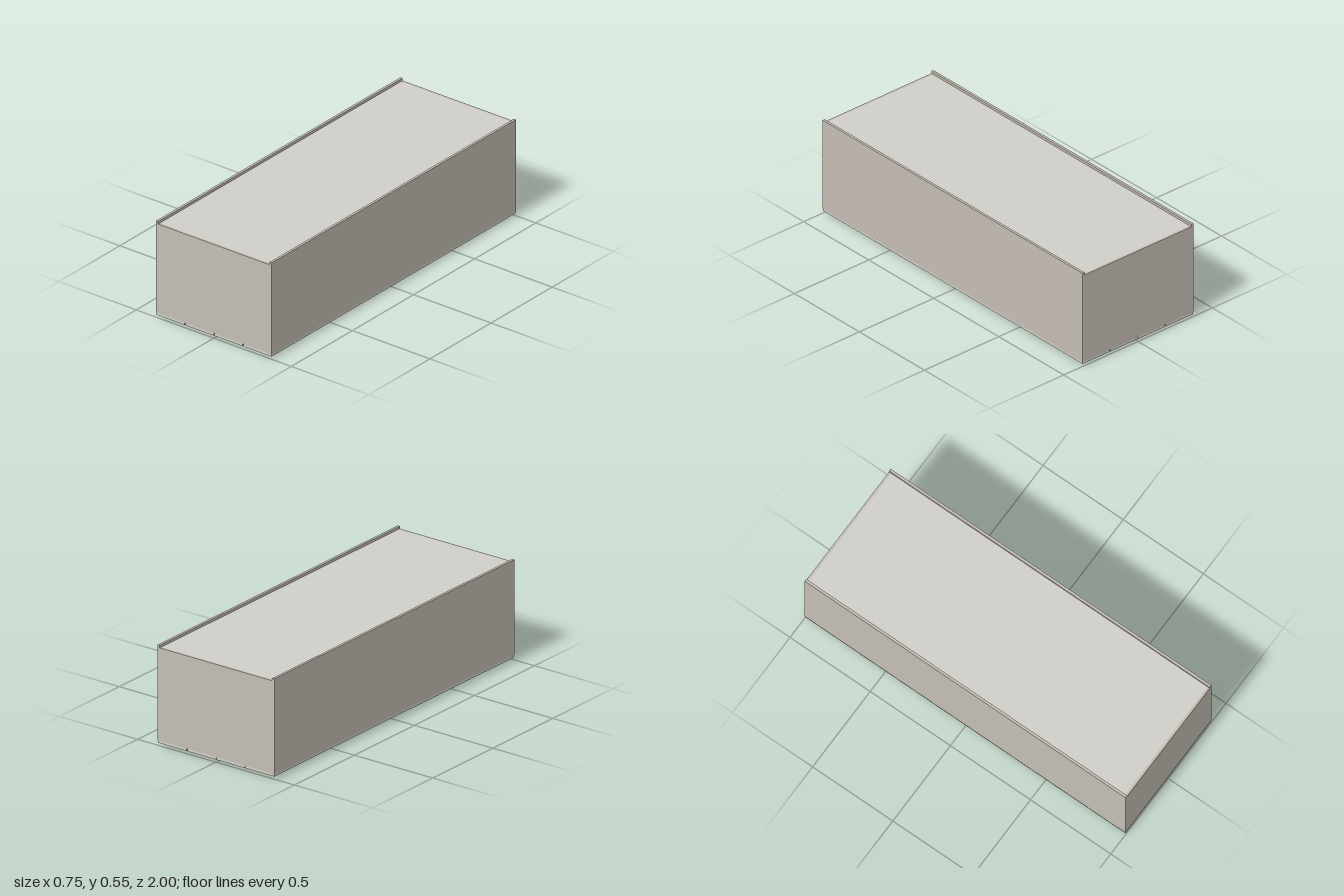
import * as THREE from 'three';

export function createModel() {
  const model = new THREE.Group();
  const carcassMat = new THREE.MeshStandardMaterial({ color: 0xc4beb4 });
  const backMat = new THREE.MeshStandardMaterial({ color: 0xd0cfc9 });
  const doorMat = new THREE.MeshStandardMaterial({ color: 0xd4d2c8 });
  const handleMat = new THREE.MeshStandardMaterial({ color: 0x7c8286 });

  // Box given by its lower and upper corners
  function panel(name, mat, [x0, y0, z0], [x1, y1, z1]) {
    const mesh = new THREE.Mesh(new THREE.BoxGeometry(x1 - x0, y1 - y0, z1 - z0), mat);
    mesh.position.set((x0 + x1) / 2, (y0 + y1) / 2, (z0 + z1) / 2);
    mesh.name = name;
    model.add(mesh);
  }

  const W = 0.373, T = 0.014, inner = W - T;
  const doorBottom = 0.013, doorTop = 0.027, backTop = 0.536, sideTop = 0.55;

  // Long side panels, standing proud of the back panel as two rims
  panel('leftSide', carcassMat, [inner, doorTop, -1], [W, sideTop, 1]);
  panel('rightSide', carcassMat, [-W, doorTop, -1], [-inner, sideTop, 1]);

  // End panels between the sides
  panel('frontEnd', carcassMat, [-inner, doorTop, 1 - T], [inner, backTop, 1]);
  panel('rearEnd', carcassMat, [-inner, doorTop, -1], [inner, backTop, -1 + T]);

  // Recessed back panel, closing the upper face
  panel('backPanel', backMat, [-inner, backTop - 0.008, -1 + T], [inner, backTop, 1 - T]);

  // Four long doors on the underside, each with a bar handle near the front end
  for (let i = 0; i < 4; i++) {
    const x = (i - 1.5) * 0.1863;
    panel(`door${i + 1}`, doorMat, [x - 0.0907, doorBottom, -0.998], [x + 0.0907, doorTop, 0.998]);
    panel(`handle${i + 1}`, handleMat, [x - 0.044, 0, 0.922], [x + 0.044, doorBottom, 0.937]);
  }

  return model;
}
